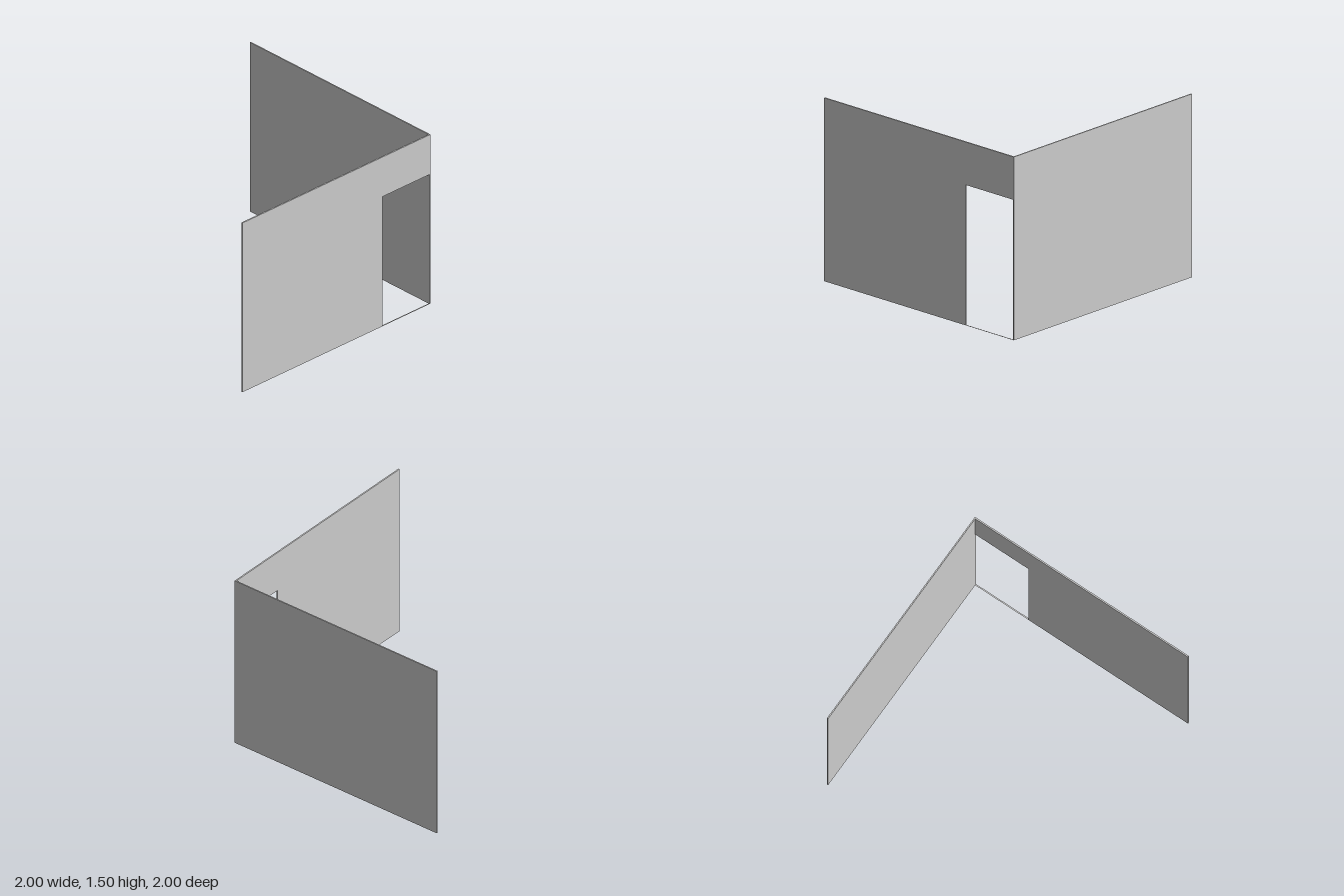
import * as THREE from 'three';

export function createModel() {
  const group = new THREE.Group();
  const material = new THREE.MeshStandardMaterial({ color: 0xcccccc, flatShading: true });
  const height = 1.495, backT = 0.01, sideT = 0.012;
  const doorFront = -0.49, doorTop = 1.145, inner = -1 + backT;

  const add = (name, geometry, mat = material) => {
    const mesh = new THREE.Mesh(geometry, mat);
    mesh.name = name;
    group.add(mesh);
    return mesh;
  };

  // Solid back wall
  add('backWall', new THREE.BoxGeometry(2, height, backT))
    .position.set(0, height / 2, -1 + backT / 2);

  // Side wall with the doorway against the back corner, drawn in (-z, y)
  const outline = new THREE.Shape([
    [-1, 0], [-doorFront, 0], [-doorFront, doorTop],
    [-inner, doorTop], [-inner, height], [-1, height],
  ].map(([u, y]) => new THREE.Vector2(u, y)));
  const side = new THREE.ExtrudeGeometry(outline, { depth: sideT, bevelEnabled: false });
  side.rotateY(Math.PI / 2);
  add('sideWall', side).position.x = 1 - sideT;

  // Paper-thin threshold across the doorway
  const sillMaterial = material.clone();
  sillMaterial.side = THREE.DoubleSide;
  const sill = new THREE.PlaneGeometry(sideT, doorFront - inner).rotateX(Math.PI / 2);
  add('threshold', sill, sillMaterial)
    .position.set(1 - sideT / 2, 0, (doorFront + inner) / 2);

  return group;
}
